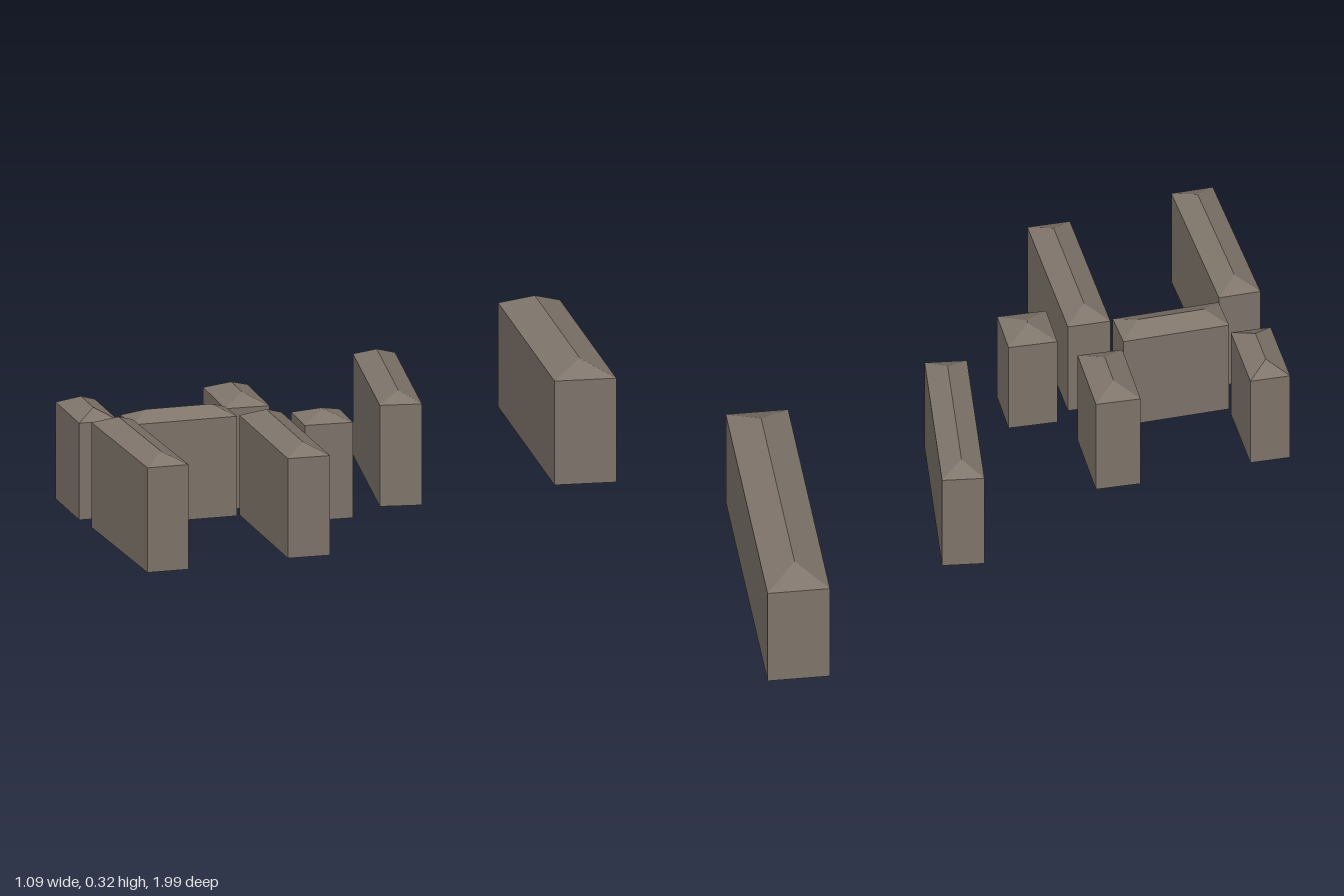
import * as THREE from 'three';

// Each block: end midpoints (x, z), width, then base, eave and ridge heights
const BLOCKS = [
  ['longBackBlock', [-0.003, -0.951], [0.482, -0.364], 0.154, 0.0, 0.263, 0.298],
  ['middleBlock', [-0.096, -0.338], [0.202, 0.061], 0.104, 0.006, 0.262, 0.286],
  ['innerRightBlock', [-0.25, 0.133], [-0.103, 0.285], 0.112, 0.013, 0.268, 0.293],
  ['smallLeftBlock', [0.055, 0.228], [0.147, 0.324], 0.122, 0.025, 0.267, 0.290],
  ['leftWingBlock', [-0.025, 0.36], [0.281, 0.665], 0.107, 0.027, 0.279, 0.304],
  ['crossBlock', [-0.099, 0.375], [-0.282, 0.571], 0.1, 0.027, 0.279, 0.302],
  ['outerRightBlock', [-0.511, 0.418], [-0.362, 0.567], 0.1, 0.018, 0.263, 0.287],
  ['frontBlock', [-0.283, 0.643], [0.048, 0.955], 0.105, 0.028, 0.293, 0.317],
];

// Hip roof over a rectangle: eaves along x, ridge inset by half the width
function hipRoofGeometry(length, width, rise) {
  const l = length / 2, w = width / 2;
  const r = Math.max(l - w, 0.001);
  const a = [-l, 0, w], b = [l, 0, w], c = [l, 0, -w], d = [-l, 0, -w];
  const e = [-r, rise, 0], f = [r, rise, 0];
  const triangles = [a, b, f, a, f, e, c, d, e, c, e, f, b, c, f, d, a, e];
  const geometry = new THREE.BufferGeometry();
  geometry.setAttribute('position', new THREE.Float32BufferAttribute(triangles.flat(), 3));
  geometry.computeVertexNormals();
  return geometry;
}

// Walls with an open top, closed underneath
function wallGeometry(length, width, height) {
  const box = new THREE.BoxGeometry(length, height, width);
  const index = Array.from(box.index.array);
  index.splice(12, 6); // top face is covered by the roof
  box.setIndex(index);
  box.translate(0, height / 2, 0);
  return box;
}

export function createModel() {
  const stone = new THREE.MeshStandardMaterial({ color: 0x80766c });
  stone.name = 'stone';
  stone.flatShading = true;

  const model = new THREE.Group();
  model.name = 'buildingCluster';

  for (const [name, [x0, z0], [x1, z1], width, base, eave, ridge] of BLOCKS) {
    const length = Math.hypot(x1 - x0, z1 - z0);
    const block = new THREE.Group();
    block.name = name;

    const walls = new THREE.Mesh(wallGeometry(length, width, eave - base), stone);
    walls.name = 'walls';
    const roof = new THREE.Mesh(hipRoofGeometry(length, width, ridge - eave), stone);
    roof.name = 'hipRoof';
    roof.position.y = eave - base;
    block.add(walls, roof);

    block.position.set((x0 + x1) / 2, base, (z0 + z1) / 2);
    block.rotation.y = -Math.atan2(z1 - z0, x1 - x0);
    model.add(block);
  }
  return model;
}
